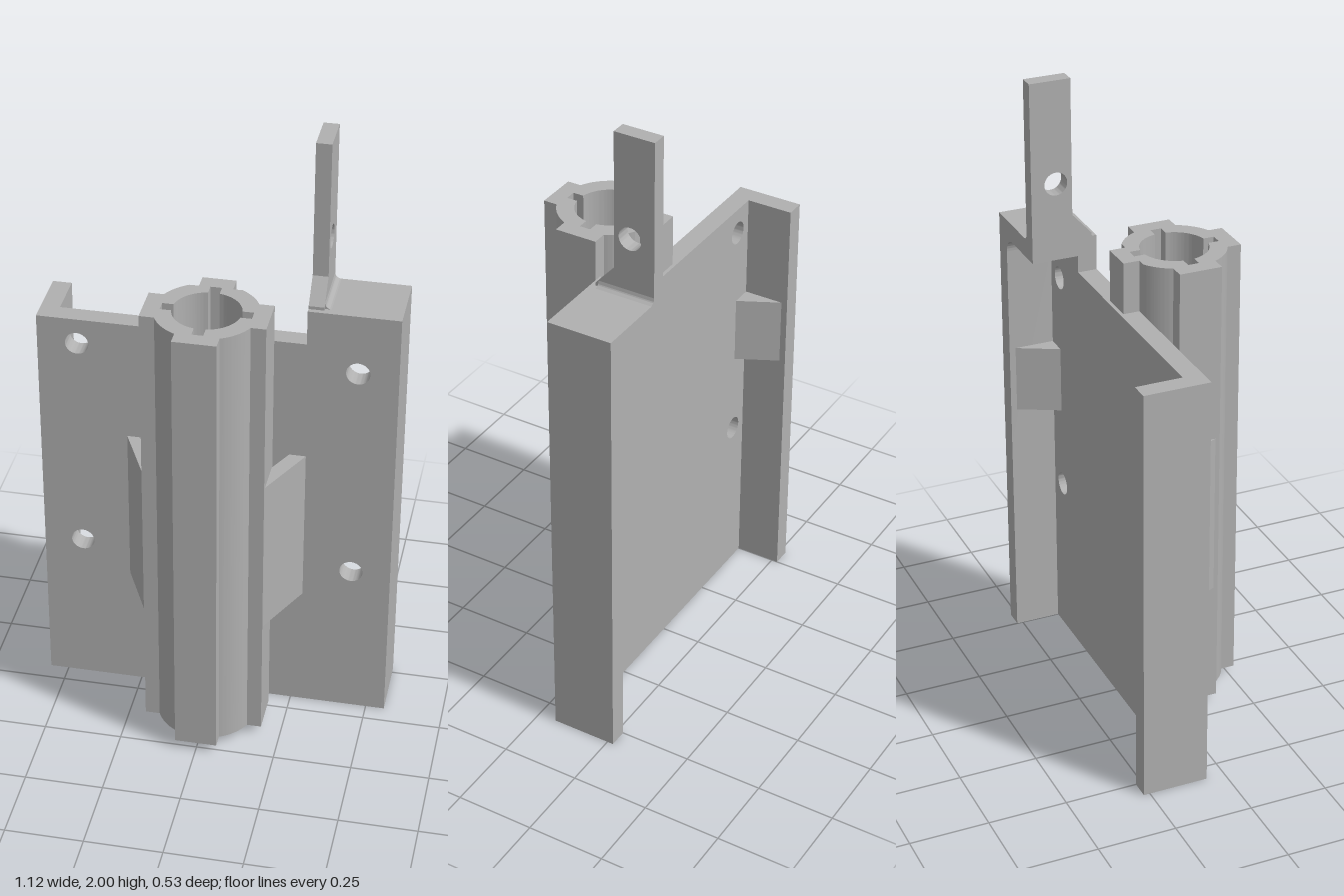
import * as THREE from 'three';
import { toCreasedNormals } from 'three/addons/utils/BufferGeometryUtils.js';

export function createModel() {
  const model = new THREE.Group();
  model.name = 'mountingBracket';
  const grey = new THREE.MeshStandardMaterial({ color: 0xb0b0b0 });
  grey.name = 'plain grey';

  const polygon = (pts) => new THREE.Shape(pts.map(([x, y]) => new THREE.Vector2(x, y)));
  const hole = (x, y, r) => new THREE.Path().absarc(x, y, r, 0, Math.PI * 2, true);

  // Extrude a profile along z, x or y, starting at a given coordinate
  function extrude(name, shape, axis, from, to) {
    let geo = new THREE.ExtrudeGeometry(shape, { depth: to - from, bevelEnabled: false, curveSegments: 24 });
    geo.translate(0, 0, from);
    if (axis === 'x') geo.rotateY(Math.PI / 2); // profile is (-z, y)
    if (axis === 'y') geo.rotateX(-Math.PI / 2); // profile is (x, -z)
    geo = toCreasedNormals(geo, 0.5);
    const mesh = new THREE.Mesh(geo, grey);
    mesh.name = name;
    model.add(mesh);
    return mesh;
  }

  const W = 0.56, LOW = 1.365, HIGH = 1.48, STEP = 0.277;
  const FRONT = -0.06, INNER = -0.122, BACK = -0.27;

  // Back plate with a raised corner and four screw holes
  const plate = polygon([[-W, 0], [W, 0], [W, HIGH], [STEP, HIGH], [STEP, LOW], [-W, LOW]]);
  for (const x of [-0.435, 0.435])
    for (const y of [0.54, 1.28]) plate.holes.push(hole(x, y, 0.037));
  extrude('backPlate', plate, 'z', INNER, FRONT);

  // Side flanges; the left one turns over into a top shelf with a filleted corner
  extrude('rightFlange', polygon([[-W, 0], [-0.5, 0], [-0.5, LOW], [-W, LOW]]), 'z', BACK, INNER);
  const flange = polygon([[0.5, 0], [W, 0], [W, HIGH], [STEP, HIGH], [STEP, 1.42], [0.45, 1.42]]);
  flange.absarc(0.45, 1.37, 0.05, Math.PI / 2, 0, true);
  extrude('leftFlangeAndShelf', flange, 'z', BACK, INNER);

  for (const s of [-1, 1]) {
    const side = s < 0 ? 'right' : 'left';
    // Small triangular gusset between flange and plate
    extrude(side + 'Gusset', polygon([[s * 0.5, -INNER], [s * 0.435, -INNER], [s * 0.5, 0.25]]), 'y', 0.81, 1.03);
    // Slanted brace between plate and tube
    extrude(side + 'Brace', polygon([
      [s * 0.282, -FRONT], [s * 0.23, -FRONT], [s * 0.188, -0.025], [s * 0.188, -0.135],
    ]), 'y', 0.43, 0.96);
  }

  // Ribbed tube: round wall with four outer ribs, the rear one let into the plate
  const R = 0.159, CZ = 0.077;
  const rib = 0.068, ribX = Math.sqrt(R * R - rib * rib);
  const flat = 0.137, flatX = Math.sqrt(R * R - flat * flat);
  const frontY = -Math.sqrt(R * R - 0.067 * 0.067);
  const tube = new THREE.Shape();
  const arc = (x0, y0, x1, y1) => tube.absarc(0, 0, R, Math.atan2(y0, x0), Math.atan2(y1, x1), false);
  const line = (...pts) => pts.forEach(([x, y]) => tube.lineTo(x, y));
  tube.moveTo(0.19, -rib);
  line([0.19, rib], [ribX, rib]);
  arc(ribX, rib, flatX, flat);
  line([0.052, flat], [0.052, 0.188], [-0.052, 0.188], [-0.052, flat], [-flatX, flat]);
  arc(-flatX, flat, -ribX, rib);
  line([-0.19, rib], [-0.19, -rib], [-ribX, -rib]);
  arc(-ribX, -rib, -0.067, frontY);
  line([-0.067, -0.188], [0.067, -0.188], [0.067, frontY]);
  arc(0.067, frontY, ribX, -rib);

  // Bore with four keyways
  const r = 0.105, half = 0.0175, depth = 0.138, a = Math.asin(half / r);
  const bore = new THREE.Path();
  for (let k = 0; k < 4; k++) {
    const t = k * Math.PI / 2, c = Math.cos(t), s = Math.sin(t);
    const corner = (y) => [depth * c - y * s, depth * s + y * c];
    if (k === 0) bore.moveTo(...corner(-half));
    else bore.lineTo(...corner(-half));
    bore.lineTo(...corner(half));
    bore.absarc(0, 0, r, t + a, t + Math.PI / 2 - a, false);
  }
  tube.holes.push(bore);
  extrude('ribbedTube', tube, 'y', 0.03, 1.53).position.z = CZ;

  // Upright arm with a sloped foot and a cross hole
  const arm = polygon([
    [0.27, HIGH], [0.27, 2], [0.138, 2], [0.138, 1.56], [0.075, 1.49], [0.075, HIGH],
  ]);
  arm.holes.push(hole(0.19, 1.67, 0.037));
  extrude('uprightArm', arm, 'x', STEP, 0.325);

  // Concave fillet at the arm's foot
  const fillet = polygon([[0.325, HIGH], [0.345, HIGH]]);
  fillet.absarc(0.345, HIGH + 0.02, 0.02, -Math.PI / 2, -Math.PI, true);
  extrude('armFillet', fillet, 'z', BACK, -0.085);

  return model;
}
